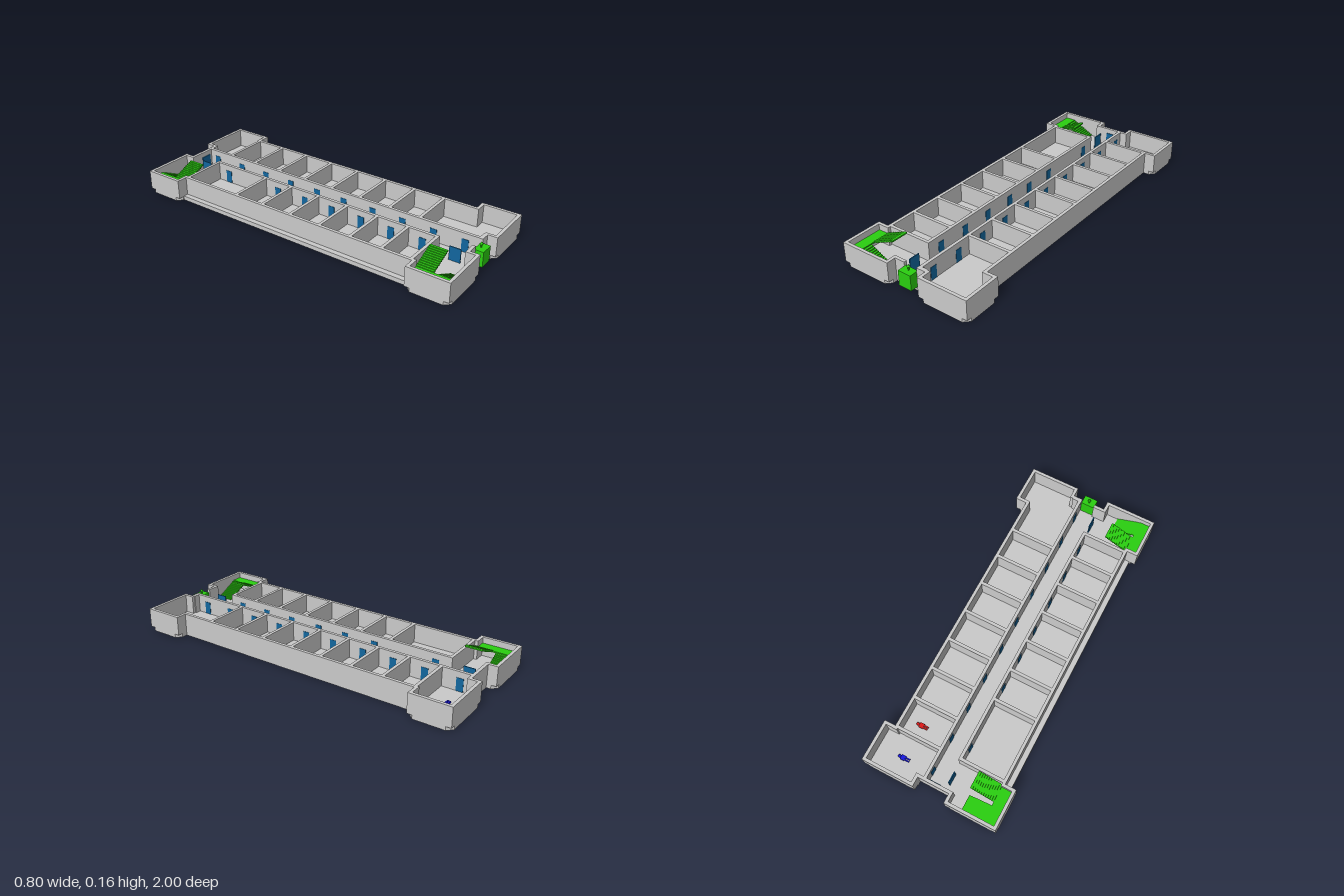
import * as THREE from 'three';

const WALL_TOP = 0.135, FLOOR = 0.025, T = 0.018;

const material = (color) => new THREE.MeshStandardMaterial({ color });
const grey = material(0xcccccc), green = material(0x2ad010), blue = material(0x12679f);
const red = material(0xe01818), deepBlue = material(0x1818e0);

// Plan outline as [x, z]; left is the x of the long side at -x
const outline = (left) => [
  [-0.095, 0.945], [-0.095, 1], [-0.4, 1], [-0.4, 0.755], [left, 0.755], [left, -0.765],
  [-0.4, -0.765], [-0.4, -1], [-0.095, -1], [-0.095, -0.945], [0.09, -0.945], [0.09, -1],
  [0.4, -1], [0.4, -0.76], [0.335, -0.76], [0.335, 0.77], [0.4, 0.77], [0.4, 1],
  [0.1, 1], [0.1, 0.945],
];

const direction = (a, b) => {
  const l = Math.hypot(b[0] - a[0], b[1] - a[1]);
  return [(b[0] - a[0]) / l, (b[1] - a[1]) / l];
};

// Cut off the outward corners of a closed plan
function chamfer(points, c) {
  const n = points.length;
  return points.flatMap((p, i) => {
    const d = direction(points[(i + n - 1) % n], p), e = direction(p, points[(i + 1) % n]);
    if (d[0] * e[1] - d[1] * e[0] <= 0) return [p];
    return [[p[0] - d[0] * c, p[1] - d[1] * c], [p[0] + e[0] * c, p[1] + e[1] * c]];
  });
}

// Give an open right-angled path a thickness towards the inside
function thicken(points, t) {
  const inner = points.map((p, i) => {
    let [x, z] = p;
    for (const d of [i > 0 && direction(points[i - 1], p),
      i < points.length - 1 && direction(p, points[i + 1])]) {
      if (d) { x -= d[1] * t; z += d[0] * t; }
    }
    return [x, z];
  });
  return [...points, ...inner.reverse()];
}

// Raise a plan from y0 to y1
function raise(points, y0, y1) {
  const shape = new THREE.Shape(points.map(([x, z]) => new THREE.Vector2(x, -z)));
  return new THREE.ExtrudeGeometry(shape, { depth: y1 - y0, bevelEnabled: false })
    .rotateX(-Math.PI / 2).translate(0, y0, 0);
}

export function createModel() {
  const model = new THREE.Group();

  const add = (name, geometry, mat, parent = model) => {
    const mesh = new THREE.Mesh(geometry, mat);
    mesh.name = name;
    parent.add(mesh);
    return mesh;
  };
  const box = (name, x0, x1, y0, y1, z0, z1, mat, parent) => add(name,
    new THREE.BoxGeometry(x1 - x0, y1 - y0, z1 - z0)
      .translate((x0 + x1) / 2, (y0 + y1) / 2, (z0 + z1) / 2), mat, parent);
  const group = (name) => {
    const g = new THREE.Group();
    g.name = name;
    model.add(g);
    return g;
  };

  // Foundation with cut corners and the floor plate on it
  add('foundation', raise(chamfer(outline(-0.365), 0.03), 0, 0.022), grey);
  add('floor', raise(outline(-0.365), 0.022, FLOOR), grey);

  // Outer wall, open at the front entrance
  const wallPath = [[-0.035, 0.945], ...outline(-0.335), [0.045, 0.945]];
  add('outerWall', raise(thicken(wallPath, T), FLOOR, WALL_TOP), grey);

  // Corridor walls and the partitions between the rooms
  const walls = group('innerWalls');
  const h = T / 2;
  box('corridorWallRight', -0.062 - h, -0.062 + h, FLOOR, WALL_TOP, -0.765, 0.755, grey, walls);
  box('corridorWallLeft', 0.055 - h, 0.055 + h, FLOOR, WALL_TOP, -0.945, 0.94, grey, walls);
  box('entranceCorner', 0.05, 0.1, FLOOR, WALL_TOP, 0.922, 0.94, grey, walls);
  for (const z of [-0.756, -0.385, -0.195, -0.003, 0.19, 0.385, 0.575, 0.746])
    box('partitionRight', -0.33, -0.062, FLOOR, WALL_TOP, z - h, z + h, grey, walls);
  for (const z of [-0.76, -0.575, -0.385, -0.195, -0.003, 0.19, 0.385, 0.575])
    box('partitionLeft', 0.055, 0.33, FLOOR, WALL_TOP, z - h, z + h, grey, walls);

  // Room doors along the corridor
  const doors = group('doors');
  const door = (x, z, w) =>
    box('door', x - 0.011, x + 0.011, FLOOR, 0.1, z - w / 2, z + w / 2, blue, doors);
  const shared = [-0.67, -0.29, -0.095, 0.09, 0.285, 0.475, 0.665];
  for (const z of shared) door(-0.062, z, 0.04);
  for (const z of [-0.87, -0.48, 0.85, ...shared]) door(0.055, z, 0.04);
  // Free-standing stair hall doors and the back door
  for (const z of [-0.86, 0.85])
    box('stairHallDoor', -0.066, -0.06, FLOOR, 0.105, z - 0.033, z + 0.033, blue, doors);
  box('backDoor', -0.035, 0.03, FLOOR, 0.105, -0.93, -0.922, blue, doors);

  // Entrance block with its upright arrow
  const entrance = group('entrance');
  box('entranceBlock', -0.035, 0.045, FLOOR, 0.113, 0.935, 0.99, green, entrance);
  add('arrowShaft', new THREE.CylinderGeometry(0.004, 0.004, 0.022, 12)
    .translate(0.005, 0.124, 0.957), green, entrance);
  add('arrowHead', new THREE.ConeGeometry(0.009, 0.014, 16)
    .translate(0.005, 0.14, 0.957), green, entrance);

  // Two-flight stairs: outer flight from the floor to the landing, inner flight upwards
  const landing = 0.1, x0 = -0.32, x1 = -0.185, steps = 11;
  for (const side of [-1, 1]) {
    const stairs = group(side < 0 ? 'backStairs' : 'frontStairs');
    const slab = (name, xa, xb, top, za, zb) => box(name, xa, xb, top - 0.008, top,
      Math.min(za * side, zb * side), Math.max(za * side, zb * side), green, stairs);
    slab('landing', -0.385, x0, landing, 0.77, 0.985);
    const run = (x1 - x0) / steps;
    for (let i = 0; i < steps; i++) {
      const x = x0 + i * run, f = (i + 1) / steps;
      slab('upperStep', x, x + run + 0.002, landing + 0.058 * f, 0.77, 0.87);
      slab('lowerStep', x, x + run + 0.002, landing - 0.067 * f, 0.89, 0.985);
    }
  }

  // Small figures lying on the washroom floors
  for (const [name, z, mat] of [['blueFigure', -0.88, deepBlue], ['redFigure', -0.68, red]]) {
    const figure = group(name);
    add('head', new THREE.SphereGeometry(0.009, 12, 8), mat, figure).position.x = 0.026;
    box('torso', -0.008, 0.017, -0.005, 0.005, -0.014, 0.014, mat, figure);
    for (const s of [-1, 1])
      box('leg', -0.035, -0.008, -0.005, 0.005, s * 0.006 - 0.004, s * 0.006 + 0.004, mat, figure);
    figure.position.set(0.228, FLOOR + 0.006, z);
  }

  return model;
}
